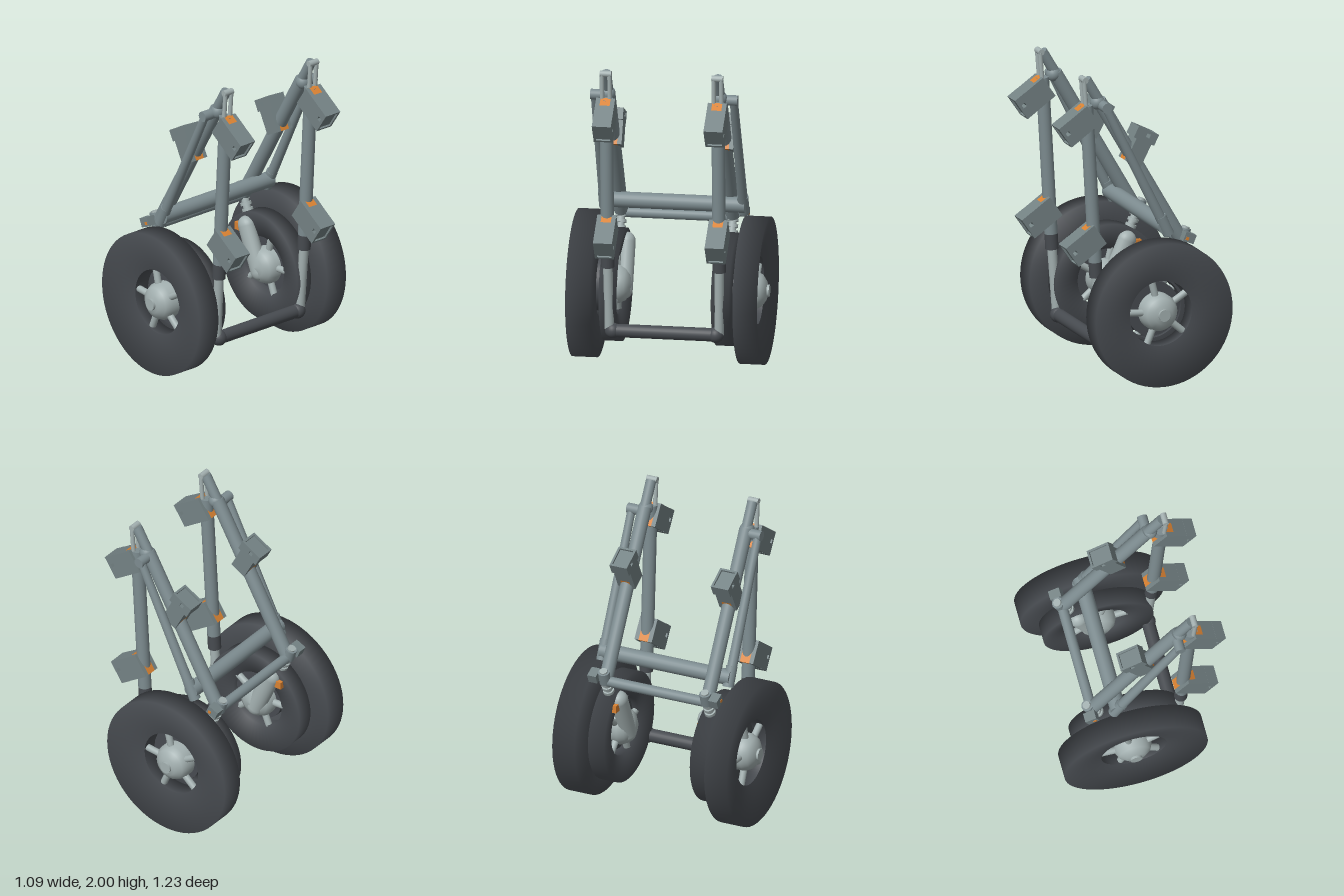
import * as THREE from 'three';

const mat = (name, color) => {
  const m = new THREE.MeshStandardMaterial({ color });
  m.name = name;
  return m;
};

export function createModel() {
  const root = new THREE.Group();
  root.name = 'landingGear';
  const steel = mat('steel grey', 0x7d8c90);
  const light = mat('light grey', 0xa3b0b0);
  const housing = mat('housing grey', 0x748284);
  const dark = mat('dark grey', 0x474b50);
  const orange = mat('orange', 0xd98232);
  const V = (x, y, z) => new THREE.Vector3(x, y, z);

  const add = (name, geo, m, parent = root) => {
    const mesh = new THREE.Mesh(geo, m);
    mesh.name = name;
    parent.add(mesh);
    return mesh;
  };
  // straight tube between two points, with optional taper
  const tube = (name, a, b, r, m, rEnd = r, parent = root) => {
    const d = b.clone().sub(a);
    const mesh = add(name, new THREE.CylinderGeometry(rEnd, r, d.length(), 24), m, parent);
    mesh.position.copy(a).add(b).multiplyScalar(0.5);
    mesh.quaternion.setFromUnitVectors(V(0, 1, 0), d.normalize());
    return mesh;
  };
  const ball = (name, p, r, m) => add(name, new THREE.SphereGeometry(r, 24, 16), m).position.copy(p);
  const box = (name, w, h, d, x, y, z, m, parent) => {
    const mesh = add(name, new THREE.BoxGeometry(w, h, d), m, parent);
    mesh.position.set(x, y, z);
    return mesh;
  };
  // smooth solid of revolution about z, from [radius, z] points
  const turned = (pts) =>
    new THREE.LatheGeometry(pts.map((p) => new THREE.Vector2(...p)), 64).rotateX(Math.PI / 2);

  // double wheel with dished faces; local z = 0 is the model centre plane
  const wheel = (s) => {
    const g = new THREE.Group();
    g.name = 'wheel';
    g.position.set(-0.085, 0.465, 0);
    if (s < 0) g.rotation.y = Math.PI;
    root.add(g);
    add('outerTyre', turned([[0.21, 0.55], [0.205, 0.45], [0.463, 0.45], [0.463, 0.605], [0.21, 0.55]]), dark, g);
    add('innerTyre', turned([[0.195, 0.41], [0.19, 0.33], [0.355, 0.297], [0.355, 0.41], [0.195, 0.41]]), dark, g);
    tube('brakeDrum', V(0.018 * s, 0.012, 0.37), V(0.018 * s, 0.012, 0.47), 0.176, dark, 0.176, g);
    const dome = [[0.12, 0.45], [0.12, 0.53], [0.1, 0.57], [0.06, 0.597], [0, 0.607]];
    const innerDome = dome.map(([r, z]) => [r, 0.86 - z]).reverse();
    for (const [pts, z] of [[dome, 0.52], [innerDome, 0.35]]) {
      add('hub', turned(pts), light, g);
      for (let i = 0; i < 5; i++) {
        const a = 0.55 + i * Math.PI * 0.4;
        const c = Math.cos(a), n = Math.sin(a);
        tube('spoke', V(c * 0.08, n * 0.08, z), V(c * 0.21, n * 0.21, z), 0.022, light, 0.022, g);
      }
    }
    tube('axleTip', V(0, 0, 0.55), V(0, 0, 0.615), 0.038, light, 0.038, g);
  };

  // lamp: local x points away from the strut, local y across it
  const lamp = (x, y, z, angle, bodyWidth) => {
    const g = new THREE.Group();
    g.name = 'lamp';
    g.position.set(x, y, z);
    g.rotation.z = angle;
    root.add(g);
    box('lampBody', 0.1, bodyWidth, 0.12, 0.11, 0, 0, housing, g);
    // clamp ears with the orange pad between them
    for (const k of [-1, 1]) box('lampEar', 0.06, bodyWidth, 0.028, 0.03, 0, k * 0.046, housing, g);
    box('lampPad', 0.06, bodyWidth, 0.064, 0.03, 0, 0, orange, g);
    // head with a square channel through it and a recessed front
    const shape = new THREE.Shape();
    shape.moveTo(0.155, -0.077);
    shape.lineTo(0.218, -0.077);
    shape.lineTo(0.218, 0.077);
    shape.lineTo(0.155, 0.077);
    const hole = new THREE.Path();
    hole.moveTo(0.185, -0.002);
    hole.lineTo(0.185, 0.024);
    hole.lineTo(0.211, 0.024);
    hole.lineTo(0.211, -0.002);
    shape.holes.push(hole);
    const geo = new THREE.ExtrudeGeometry(shape, { depth: 0.12, bevelEnabled: false });
    add('lampHead', geo.translate(0, 0, -0.06), housing, g);
    for (const k of [-1, 1]) {
      box('lampRimSide', 0.014, 0.154, 0.014, 0.223, 0, k * 0.053, housing, g);
      box('lampRimEnd', 0.014, 0.014, 0.092, 0.223, k * 0.07, 0, housing, g);
    }
  };

  for (const s of [1, -1]) {
    const z = 0.352 * s, zo = 0.438 * s;
    wheel(s);

    // long diagonal strut
    tube('diagonalStrut', V(-0.3, 0.88, z), V(0.25, 1.83, z), 0.044, steel);
    tube('diagonalStrutNeck', V(0.25, 1.83, z), V(0.338, 1.978, z), 0.033, steel);
    ball('diagonalCollar', V(0.26, 1.82, z), 0.047, steel);

    // outer brace
    tube('outerBrace', V(-0.14, 1.03, zo), V(0.24, 1.805, zo), 0.032, steel, 0.026);
    tube('outerBraceSleeve', V(-0.185, 0.94, zo), V(-0.13, 1.06, zo), 0.036, steel);
    tube('bracePin', V(0.24, 1.805, z), V(0.24, 1.805, 0.464 * s), 0.033, steel);

    // upright strut with sliding lower rod
    tube('uprightStrut', V(0.276, 0.79, z), V(0.335, 1.81, z), 0.042, steel);
    tube('uprightSleeve', V(0.27, 0.69, z), V(0.276, 0.79, z), 0.042, dark);
    tube('uprightRod', V(0.24, 0.265, 0.345 * s), V(0.272, 0.72, z), 0.03, light);
    ball('uprightFoot', V(0.24, 0.265, 0.325 * s), 0.05, dark);

    // top fork
    for (const k of [-1, 1])
      tube('forkRod', V(0.345, 1.78, z + k * 0.024), V(0.36, 1.975, z + k * 0.024), 0.014, light);
    tube('forkPin', V(0.355, 1.978, z - 0.036), V(0.355, 1.978, z + 0.036), 0.02, light);

    // shock absorber and trailing arm to the axle
    tube('shockCup', V(-0.335, 0.94, z), V(-0.31, 0.86, z), 0.037, steel);
    tube('shockRod', V(-0.34, 0.95, z), V(-0.2, 0.64, z), 0.025, light);
    for (let i = 0; i < 4; i++) {
      const c = V(-0.3 + i * 0.016, 0.86 - i * 0.035, z);
      tube('shockRing', c, c.clone().add(V(0.008, -0.018, 0)), 0.036, light);
    }
    const arm = tube('trailingArm', V(-0.215, 0.705, 0.3 * s), V(-0.095, 0.43, 0.3 * s), 0.06, light);
    arm.geometry = new THREE.CapsuleGeometry(0.06, 0.3, 8, 24);
    arm.scale.z = 0.85;
    box('armPad', 0.05, 0.05, 0.04, -0.28, 0.68, 0.3 * s, orange);

    // bracket at the foot of the diagonal strut
    const bracket = new THREE.Group();
    bracket.name = 'footBracket';
    bracket.position.set(-0.325, 0.9, 0.42 * s);
    bracket.rotation.z = 0.4;
    root.add(bracket);
    box('bracketBlock', 0.075, 0.06, 0.06, 0, 0, 0, housing, bracket);
    box('bracketMark', 0.02, 0.02, 0.066, 0.015, -0.008, 0, orange, bracket);

    // lamps on the upright and on the diagonal
    lamp(0.313, 1.757, z, -0.6, 0.152);
    lamp(0.265, 0.978, z, -0.6, 0.152);
    lamp(0.042, 1.411, z, 2.05, 0.112);
  }

  // cross tubes joining both sides
  const cross = (name, x, y, half, r, m) => tube(name, V(x, y, -half), V(x, y, half), r, m);
  cross('mainCrossTube', -0.16, 0.995, 0.45, 0.05, steel);
  cross('rearCrossTube', -0.307, 0.868, 0.35, 0.033, steel);
  cross('lowerCrossTube', 0.24, 0.265, 0.32, 0.042, dark);

  return root;
}
